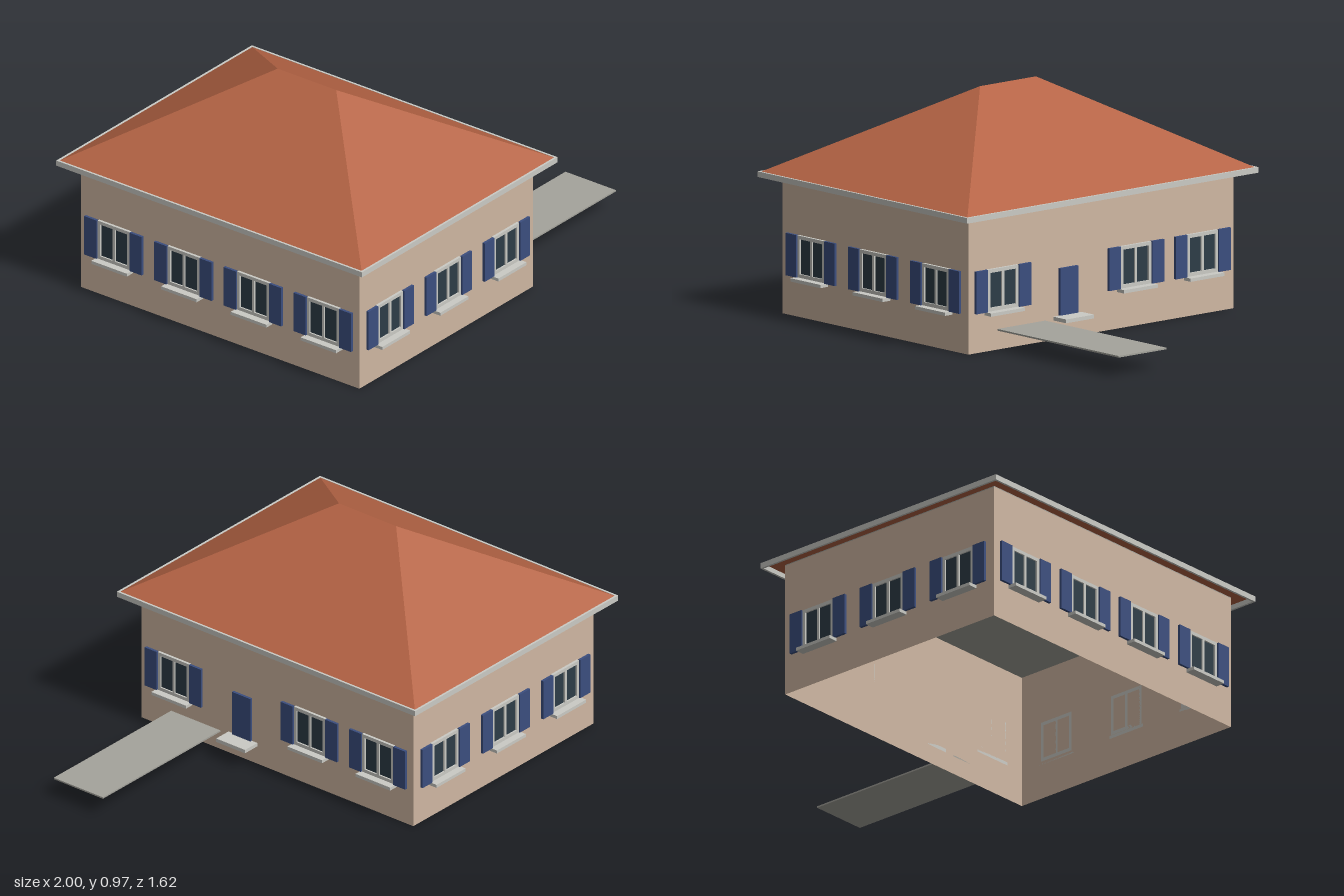
import * as THREE from 'three';

const material = (name, color, side = THREE.FrontSide) => {
  const m = new THREE.MeshStandardMaterial({ color, side });
  m.name = name;
  return m;
};

// House footprint
const CX = -0.343, HALF_X = 0.583, HALF_Z = 0.737, EAVE = 0.597;

export function createModel() {
  const house = new THREE.Group();
  house.name = 'house';
  const plaster = material('plaster', 0xcfb7a2, THREE.DoubleSide);
  const tile = material('roofTile', 0xb46344);
  const trim = material('trim', 0xcbcbc5);
  const blue = material('bluePaint', 0x3b4e7f);
  const glass = material('glass', 0x2d3c47);
  const concrete = material('concrete', 0xa5a49c);

  const box = (parent, name, mat, w, h, d, x, y, z) => {
    const mesh = new THREE.Mesh(new THREE.BoxGeometry(w, h, d), mat);
    mesh.name = name;
    mesh.position.set(x, y, z);
    parent.add(mesh);
    return mesh;
  };

  // A group on one wall: local x runs along the wall, local z points outward
  const side = (name, angle, distance) => {
    const g = new THREE.Group();
    g.name = name;
    g.rotation.y = angle;
    g.position.set(CX + Math.sin(angle) * distance, 0, Math.cos(angle) * distance);
    house.add(g);
    return g;
  };

  // Window with two panes, sill and open shutters
  const addWindow = (wall, x) => {
    const g = new THREE.Group();
    g.name = 'window';
    g.position.x = x;
    wall.add(g);
    for (const s of [-1, 1]) {
      box(g, 'frameSide', trim, 0.014, 0.178, 0.012, s * 0.078, 0.259, 0.006);
      box(g, 'frameRail', trim, 0.142, 0.015, 0.012, 0, 0.259 + s * 0.0815, 0.006);
      box(g, 'pane', glass, 0.065, 0.148, 0.004, s * 0.038, 0.259, 0.003);
      box(g, 'shutter', blue, 0.065, 0.18, 0.012, s * 0.12, 0.259, 0.011);
    }
    box(g, 'mullion', trim, 0.012, 0.148, 0.012, 0, 0.259, 0.006);
    box(g, 'sill', trim, 0.188, 0.014, 0.043, 0, 0.162, 0.0215);
  };

  // Four walls, open underneath
  const sides = [
    ['frontWall', 0, HALF_Z, HALF_X, [-0.39, 0, 0.39]],
    ['backWall', Math.PI, HALF_Z, HALF_X, [-0.39, 0, 0.39]],
    ['leftWall', Math.PI / 2, HALF_X, HALF_Z, [-0.554, 0.184, 0.554]],
    ['rightWall', -Math.PI / 2, HALF_X, HALF_Z, [-0.554, -0.184, 0.184, 0.554]],
  ];
  for (const [name, angle, distance, half, windows] of sides) {
    const wall = side(name, angle, distance);
    const panel = new THREE.Mesh(new THREE.PlaneGeometry(half * 2, 0.59), plaster);
    panel.name = name + 'Panel';
    panel.position.y = 0.295;
    wall.add(panel);
    windows.forEach((x) => addWindow(wall, x));

    // Door and doorstep
    if (name === 'leftWall') {
      box(wall, 'door', blue, 0.1, 0.2, 0.012, -0.187, 0.2, 0.006);
      box(wall, 'doorstep', trim, 0.156, 0.016, 0.08, -0.187, 0.09, 0.04);
    }
  }

  // Ceiling slab and entrance path
  box(house, 'ceiling', concrete, HALF_X * 2, 0.006, HALF_Z * 2, CX, 0.591, 0);
  box(house, 'path', concrete, 0.76, 0.007, 0.266, 0.62, 0.084, 0.443);

  // Hipped roof: four eave corners and two ridge ends
  const rx = 0.65, rz = 0.802, top = 0.973, ridge = 0.155;
  const p = [
    [-rx, EAVE, rz], [rx, EAVE, rz], [rx, EAVE, -rz], [-rx, EAVE, -rz],
    [0, top, ridge], [0, top, -ridge],
  ];
  const faces = [
    [0, 1, 4], [1, 2, 5], [1, 5, 4], [2, 3, 5],
    [3, 0, 4], [3, 4, 5], [0, 3, 2], [0, 2, 1],
  ];
  const roofGeo = new THREE.BufferGeometry();
  roofGeo.setAttribute('position',
    new THREE.Float32BufferAttribute(faces.flat().flatMap((i) => p[i]), 3));
  roofGeo.computeVertexNormals();
  const roof = new THREE.Mesh(roofGeo, tile);
  roof.name = 'roof';
  roof.position.x = CX;
  house.add(roof);

  // Fascia board around the eaves
  for (const s of [-1, 1]) {
    box(house, 'fasciaLong', trim, 0.01, 0.024, 1.618, CX + s * 0.652, 0.588, 0);
    box(house, 'fasciaShort', trim, 1.294, 0.024, 0.01, CX, 0.588, s * 0.804);
  }
  return house;
}
